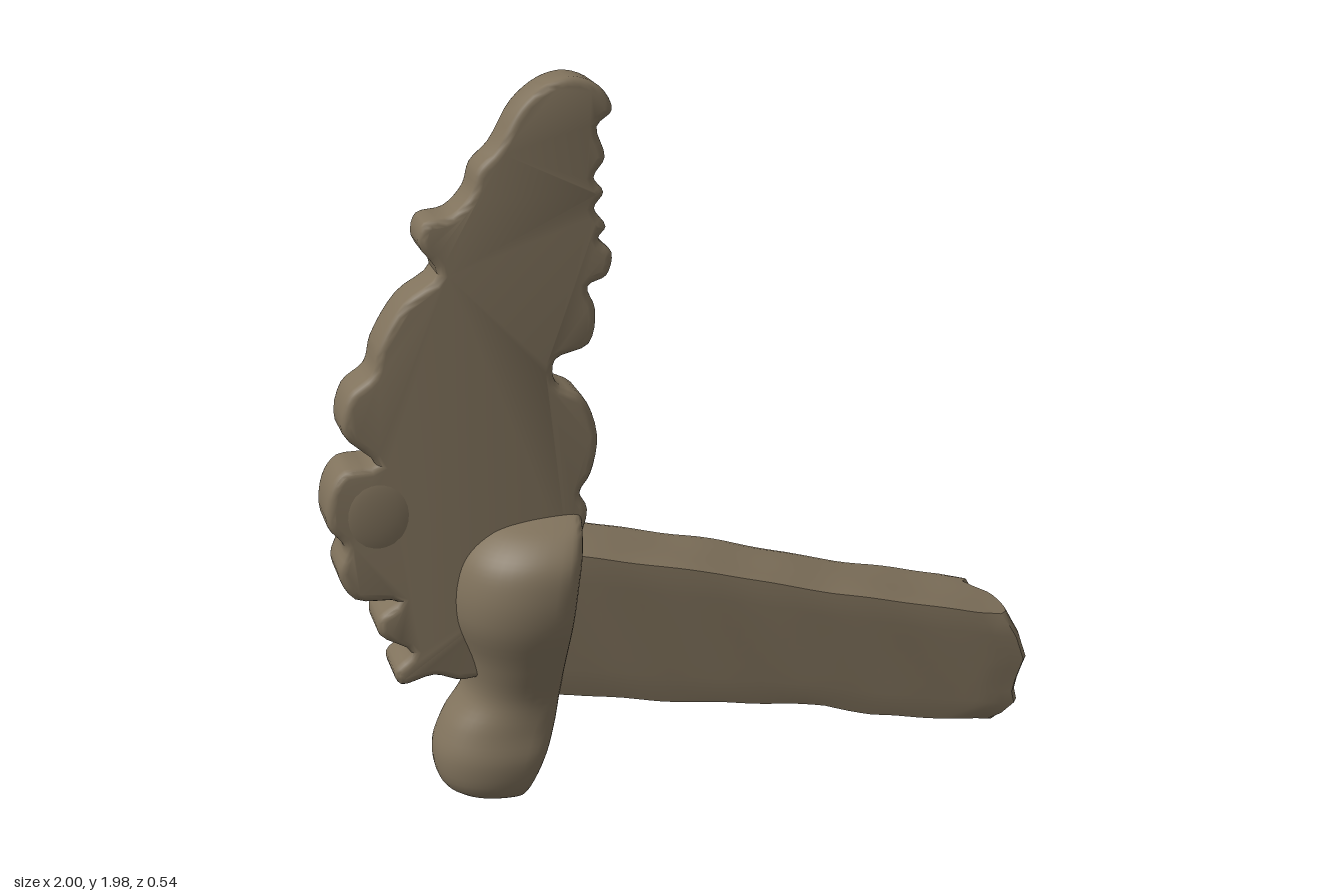
import * as THREE from 'three';
import { toCreasedNormals } from 'three/addons/utils/BufferGeometryUtils.js';

const stone = new THREE.MeshStandardMaterial({ color: 0x80725c });
stone.name = 'weathered stone';

function part(name, geometry, parent) {
  const mesh = new THREE.Mesh(geometry, stone);
  mesh.name = name;
  parent.add(mesh);
  return mesh;
}

// Move every vertex by a rule
function reshape(geometry, rule) {
  const p = geometry.attributes.position, v = new THREE.Vector3();
  for (let i = 0; i < p.count; i++) {
    rule(v.fromBufferAttribute(p, i));
    p.setXYZ(i, v.x, v.y, v.z);
  }
  return geometry;
}

// Value on a polyline of [x, y] pairs
function along(pairs, x) {
  for (let i = 1; i < pairs.length; i++) {
    const [a, b] = [pairs[i - 1], pairs[i]];
    if (x <= b[0]) return a[1] + (b[1] - a[1]) * (x - a[0]) / (b[0] - a[0]);
  }
  return pairs[pairs.length - 1][1];
}

// Back surface of the crest, which thins towards its tip
const crestBack = y => -0.07 + 0.04 * THREE.MathUtils.clamp((y - 0.85) / 1.1, 0, 1);

// Scalloped upright plate
function crestGeometry() {
  const outline = [
    [-0.33, 1.98], [-0.26, 1.95], [-0.23, 1.89], [-0.27, 1.85], [-0.25, 1.77], [-0.28, 1.72],
    [-0.255, 1.68], [-0.28, 1.64], [-0.25, 1.59], [-0.27, 1.56], [-0.235, 1.52], [-0.25, 1.46],
    [-0.3, 1.435], [-0.28, 1.37], [-0.3, 1.28], [-0.39, 1.245], [-0.39, 1.185], [-0.32, 1.14],
    [-0.28, 1.03], [-0.3, 0.92], [-0.33, 0.87], [-0.31, 0.82], [-0.35, 0.7], [-0.5, 0.42],
    [-0.66, 0.37], [-0.74, 0.395], [-0.83, 0.38], [-0.845, 0.42], [-0.8, 0.47], [-0.88, 0.53],
    [-0.88, 0.58], [-0.83, 0.62], [-0.94, 0.64], [-0.98, 0.72], [-0.96, 0.79], [-1, 0.85],
    [-0.99, 0.95], [-0.95, 1], [-0.87, 1.01], [-0.95, 1.1], [-0.93, 1.2], [-0.87, 1.25],
    [-0.85, 1.32], [-0.78, 1.43], [-0.69, 1.5], [-0.735, 1.58], [-0.72, 1.635], [-0.65, 1.65],
    [-0.6, 1.7], [-0.58, 1.76], [-0.53, 1.81], [-0.47, 1.91], [-0.4, 1.965]
  ].map(([x, y]) => new THREE.Vector3(x, y, 0));
  const curve = new THREE.CatmullRomCurve3(outline, true, 'centripetal');
  const points = curve.getPoints(212).slice(0, -1).map(p => new THREE.Vector2(p.x, p.y));
  const geometry = new THREE.ExtrudeGeometry(new THREE.Shape(points), {
    depth: 0.12, steps: 1, bevelThickness: 0.025, bevelSize: 0.022, bevelOffset: -0.022, bevelSegments: 4
  });
  reshape(geometry, v => {
    const t = (v.z + 0.025) / 0.17;
    v.z = THREE.MathUtils.lerp(crestBack(v.y), 0.1, t);
  });
  return toCreasedNormals(geometry, 0.8);
}

// Rounded socket with a narrow waist and a foot: loft of D-shaped sections
function socketGeometry() {
  // height, back x, front x, half width
  const rows = [
    [0.01, -0.6, -0.51, 0.1], [0.035, -0.71, -0.48, 0.145], [0.13, -0.735, -0.435, 0.172],
    [0.22, -0.705, -0.408, 0.165], [0.31, -0.645, -0.395, 0.17], [0.42, -0.648, -0.382, 0.21],
    [0.55, -0.685, -0.362, 0.258], [0.65, -0.683, -0.348, 0.267], [0.73, -0.655, -0.335, 0.25],
    [0.79, -0.59, -0.326, 0.19], [0.82, -0.5, -0.322, 0.09]
  ];
  const curves = [0, 2].map(k => new THREE.CatmullRomCurve3(
    rows.map(r => new THREE.Vector3(r[0], r[k ? 3 : 1], k ? 0 : r[2])), false, 'centripetal'));
  const rings = 50, sides = 48, pos = [], index = [];
  const power = (v, e) => Math.sign(v) * Math.abs(v) ** e;
  for (let i = 0; i <= rings; i++) {
    const a = curves[0].getPoint(i / rings), b = curves[1].getPoint(i / rings);
    const mid = THREE.MathUtils.lerp(a.y, a.z, 0.72);
    for (let j = 0; j < sides; j++) {
      const t = j / sides * Math.PI * 2, c = Math.cos(t);
      const x = c > 0 ? mid + (a.z - mid) * power(c, 0.6) : mid + (mid - a.y) * power(c, 0.9);
      pos.push(x, a.x, b.y * power(Math.sin(t), 0.85));
      if (i < rings) {
        const p = i * sides + j, q = i * sides + (j + 1) % sides;
        index.push(p, p + sides, q, q, p + sides, q + sides);
      }
    }
  }
  // End caps
  const last = rings * sides;
  pos.push(-0.555, 0.005, 0, -0.41, 0.825, 0);
  for (let j = 0; j < sides; j++) {
    const k = (j + 1) % sides, n = last + sides;
    index.push(n, j, k, n + 1, last + k, last + j);
  }
  const geometry = new THREE.BufferGeometry();
  geometry.setAttribute('position', new THREE.Float32BufferAttribute(pos, 3));
  geometry.setIndex(index);
  return toCreasedNormals(geometry, 0.9);
}

// Sloping squared beam with worn edges and a broken end
function beamGeometry() {
  const top = [[-0.45, 0.74], [-0.33, 0.715], [-0.22, 0.685], [0.05, 0.615], [0.38, 0.515], [0.93, 0.37], [1, 0.35]];
  const bottom = [[-0.45, 0.315], [-0.38, 0.305], [0, 0.225], [0.36, 0.165], [0.5, 0.115], [0.9, 0.03], [1, 0.02]];
  const end = [[-0.5, 0.9], [-0.3, 0.975], [-0.18, 0.965], [0.1, 1], [0.3, 0.975], [0.5, 0.93]];
  const geometry = new THREE.BoxGeometry(1, 1, 1, 36, 10, 10);
  reshape(geometry, v => {
    const { x: u, y: h, z: w } = v;
    const s = u + 0.5;
    // The broken face is chipped behind the upper edge and along its corners
    const notch = 0.06 * Math.exp(-(((w + 0.28) / 0.13) ** 2)) * (h + 0.5);
    const reach = along(end, h) - notch - 0.035 * (2 * Math.abs(w)) ** 4;
    const x = -0.45 + s * (reach + 0.45);
    const wear = 0.006 * Math.sin(x * 17 + h * 5) * Math.sin(x * 7 + w * 4);
    const edge = (2 * Math.abs(h)) ** 8 * (2 * Math.abs(w)) ** 8;
    const tip = THREE.MathUtils.smoothstep(s, 0.93, 1);
    const shrink = 1 - edge * (0.035 + 0.06 * tip) - 0.05 * tip;
    const lo = along(bottom, x), hi = along(top, x), half = (hi - lo) / 2;
    v.set(x, (lo + hi) / 2 + h * 2 * half * (1 - edge * 0.03) + wear * h,
      -0.003 + w * 0.3 * shrink + wear * w);
  });
  return toCreasedNormals(geometry, 0.5);
}

export function createModel() {
  const model = new THREE.Group();
  model.name = 'stoneOrnament';
  part('crest', crestGeometry(), model);
  part('socket', socketGeometry(), model);
  part('beam', beamGeometry(), model);

  // Low swellings on the back and front of the crest: x, y, radius x, radius y
  const relief = new THREE.Group();
  relief.name = 'crestRelief';
  model.add(relief);
  const swell = (name, x, y, z, rx, ry, rz) => {
    const mesh = part(name, new THREE.SphereGeometry(1, 24, 16), relief);
    mesh.position.set(x, y, z);
    mesh.scale.set(rx, ry, rz);
  };
  [[-0.87, 0.87, 0.1, 0.11], [-0.88, 0.7, 0.07, 0.06], [-0.81, 0.52, 0.05, 0.07],
    [-0.67, 1.58, 0.045, 0.045], [-0.31, 1.5, 0.05, 0.04], [-0.4, 1.76, 0.11, 0.13]]
    .forEach(([x, y, rx, ry]) => swell('backLobe', x, y, crestBack(y) + 0.008, rx, ry, 0.02));
  swell('frontLobe', -0.87, 0.87, 0.088, 0.1, 0.11, 0.02);

  // Rolled ridges across the back below the tip
  [[[-0.66, 1.46], [-0.5, 1.535], [-0.33, 1.43]], [[-0.57, 1.66], [-0.43, 1.59], [-0.3, 1.63]]]
    .forEach(line => {
      const curve = new THREE.CatmullRomCurve3(
        line.map(([x, y]) => new THREE.Vector3(x, y, crestBack(y) + 0.012)));
      part('backRidge', new THREE.TubeGeometry(curve, 24, 0.024, 10), relief);
    });
  return model;
}
